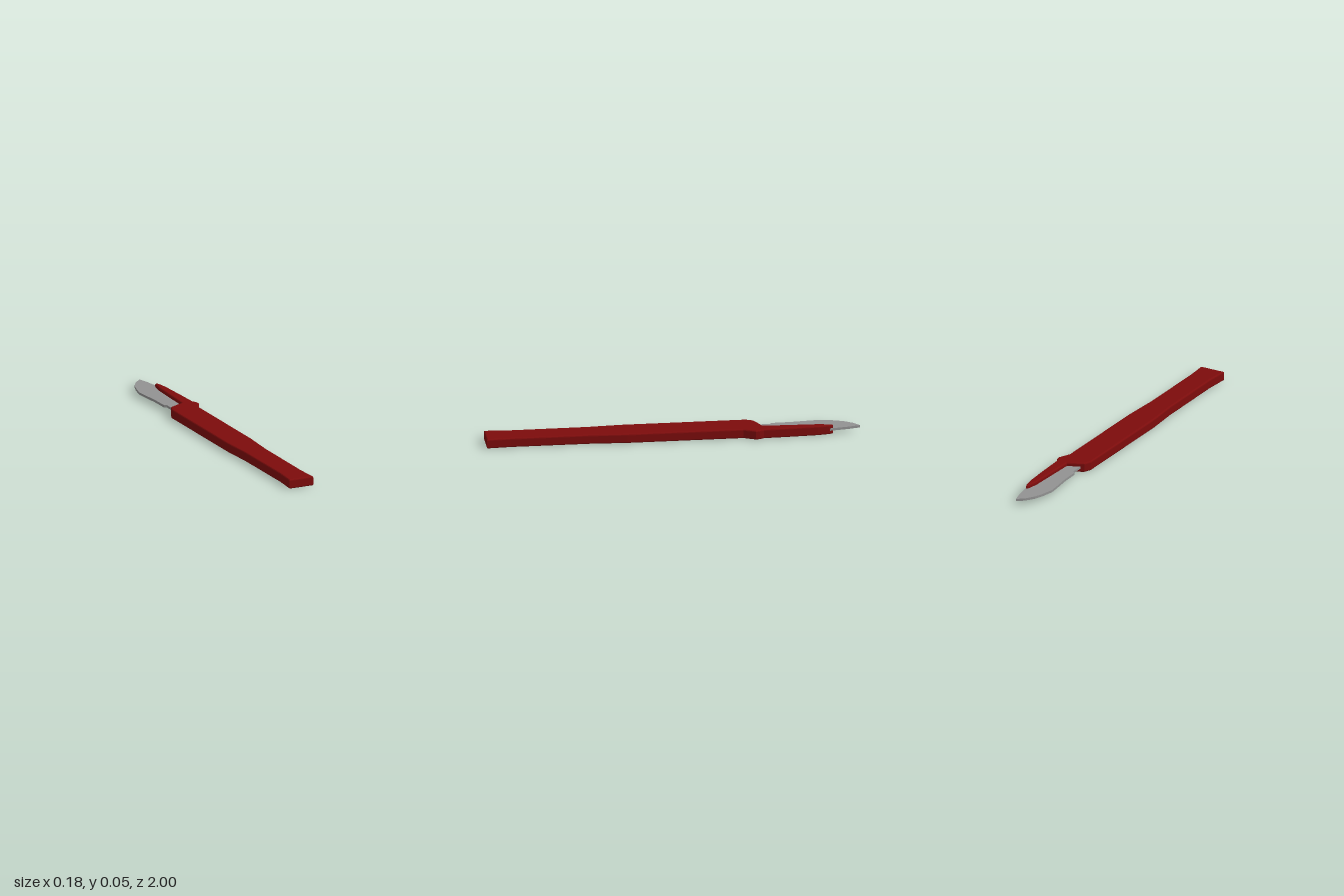
import * as THREE from 'three';

// Flat outline given as [x, z] points, extruded upward from y0 to y1
function plate(name, points, y0, y1, bevel, material) {
  const shape = new THREE.Shape(points.map(([x, z]) => new THREE.Vector2(x, -z)));
  const geometry = new THREE.ExtrudeGeometry(shape, {
    depth: y1 - y0 - 2 * bevel,
    bevelEnabled: bevel > 0,
    bevelThickness: bevel,
    bevelSize: bevel,
    bevelOffset: -bevel,
    bevelSegments: 3,
  });
  geometry.rotateX(-Math.PI / 2);
  geometry.translate(0, y0 + bevel, 0);
  const mesh = new THREE.Mesh(geometry, material);
  mesh.name = name;
  return mesh;
}

export function createModel() {
  const red = new THREE.MeshStandardMaterial({ color: 0x7d0c0c });
  red.name = 'dark red';
  const steel = new THREE.MeshStandardMaterial({ color: 0x929292 });
  steel.name = 'steel grey';

  const group = new THREE.Group();
  group.name = 'scalpel';

  // Handle: flared butt, slim waist, wide grip, shoulder and narrow blade support
  const handle = [
    [-0.087, 1], [0.055, 1], [0.048, 0.87], [0.049, 0.45], [0.06, 0.25],
    [0.06, -0.37], [0.09, -0.435], [0.087, -0.455], [0.075, -0.48], [0.071, -0.6],
    [0.063, -0.77], [0.054, -0.83], [0.044, -0.853], [0.036, -0.847], [0.023, -0.78],
    [0.012, -0.48], [-0.03, -0.462], [-0.073, -0.44], [-0.091, -0.4],
    [-0.091, 0.27], [-0.08, 0.45], [-0.078, 0.87],
  ];
  group.add(plate('handle', handle, 0, 0.052, 0.008, red));

  // Blade: curved cutting edge, pointed tip, notched root set into the handle
  const blade = [
    [0.02, -1], [-0.02, -0.965], [-0.05, -0.92], [-0.068, -0.87], [-0.084, -0.8],
    [-0.08, -0.74], [-0.07, -0.64], [-0.068, -0.535], [-0.054, -0.525], [-0.054, -0.42],
    [0.045, -0.42], [0.05, -0.78], [0.052, -0.84], [0.035, -0.94],
  ];
  group.add(plate('blade', blade, 0.02, 0.033, 0, steel));

  return group;
}
